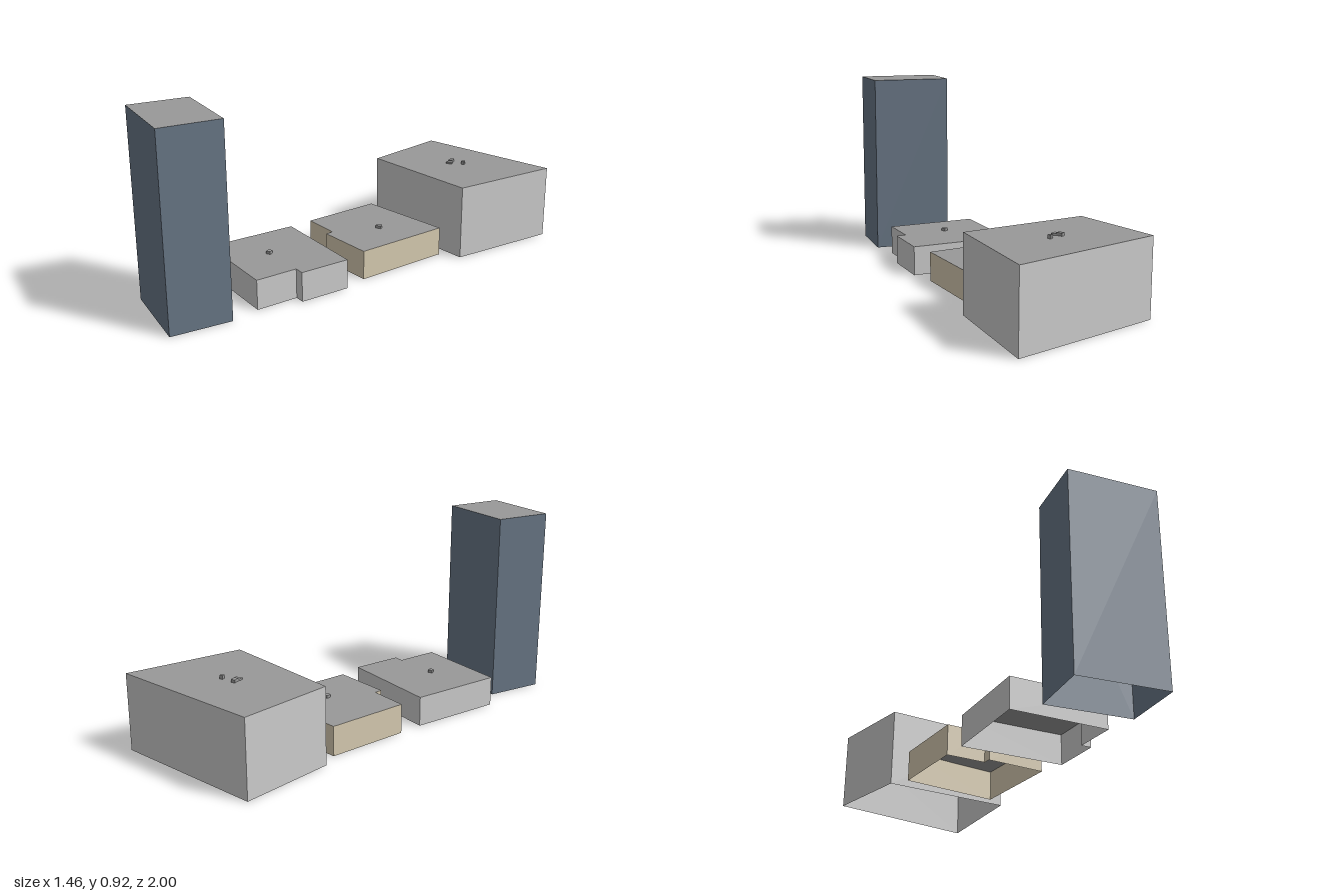
import * as THREE from 'three';

const ROOF = 0x999999;

function material(color) {
  return new THREE.MeshStandardMaterial({ color, side: THREE.DoubleSide });
}

// Open-bottomed prism: walls and flat roof over a footprint of [x, z] corners,
// listed clockwise as seen from above
function block(name, corners, base, top, wallColor) {
  const group = new THREE.Group();
  group.name = name;

  const pos = [];
  corners.forEach(([x0, z0], i) => {
    const [x1, z1] = corners[(i + 1) % corners.length];
    pos.push(x1, base, z1, x0, base, z0, x0, top, z0);
    pos.push(x1, base, z1, x0, top, z0, x1, top, z1);
  });
  const wallGeometry = new THREE.BufferGeometry();
  wallGeometry.setAttribute('position', new THREE.Float32BufferAttribute(pos, 3));
  wallGeometry.computeVertexNormals();
  const walls = new THREE.Mesh(wallGeometry, material(wallColor));
  walls.name = 'walls';

  const outline = new THREE.Shape(corners.map(([x, z]) => new THREE.Vector2(x, -z)));
  const roofGeometry = new THREE.ShapeGeometry(outline);
  roofGeometry.rotateX(-Math.PI / 2);
  roofGeometry.translate(0, top, 0);
  const roof = new THREE.Mesh(roofGeometry, material(ROOF));
  roof.name = 'roof';

  group.add(walls, roof);
  return group;
}

// Small rooftop unit with a rectangular or tapered plan
function roofUnit(name, x0, x1, z0, z1, base, top, taper = 0) {
  const plan = [[x0 + taper, z0], [x1 - taper, z0], [x1, (z0 + z1) / 2], [x1, z1], [x0, z1], [x0, (z0 + z1) / 2]];
  return block(name, plan, base, top, ROOF);
}

export function createModel() {
  const model = new THREE.Group();
  model.name = 'cityBlock';

  // Tall tower
  model.add(block('tower',
    [[-0.565, 0.525], [-0.235, 0.758], [-0.4, 1.0], [-0.733, 0.76]],
    0, 0.922, 0x687685));

  // Low grey house with a notched corner
  model.add(block('greyHouse',
    [[-0.365, -0.003], [0.073, 0.245], [-0.05, 0.462], [-0.093, 0.438], [-0.193, 0.62], [-0.595, 0.392]],
    0, 0.146, 0xcccccc));

  // Low tan house with a notched corner
  model.add(block('tanHouse',
    [[-0.135, -0.475], [0.32, -0.31], [0.1, 0.123], [-0.16, 0.005], [-0.145, -0.03], [-0.315, -0.115]],
    0, 0.145, 0xd6cab0));

  // Large hall
  model.add(block('hall',
    [[0, -1], [0.725, -0.8], [0.43, -0.32], [-0.145, -0.57]],
    0, 0.372, 0xcccccc));

  // Rooftop units
  model.add(
    roofUnit('greyHouseVent', -0.304, -0.282, 0.326, 0.348, 0.146, 0.16),
    roofUnit('tanHouseVent', 0.027, 0.057, -0.196, -0.17, 0.145, 0.159, 0.006),
    roofUnit('hallVentTall', 0.226, 0.246, -0.7, -0.673, 0.372, 0.386),
    roofUnit('hallVentLow', 0.22, 0.252, -0.673, -0.648, 0.372, 0.38, 0.006),
    roofUnit('hallChimney', 0.297, 0.313, -0.685, -0.67, 0.372, 0.389));

  return model;
}
